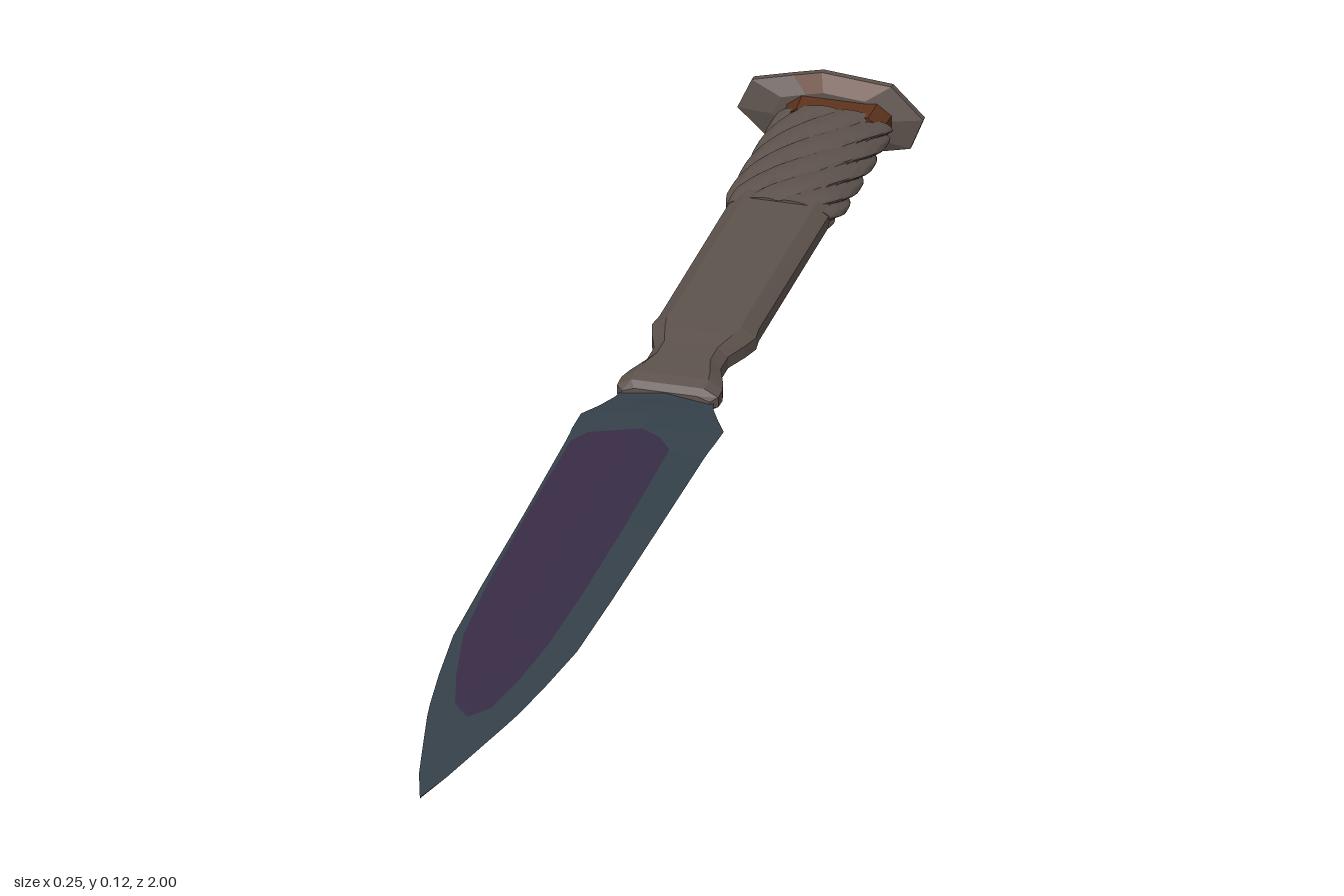
import * as THREE from 'three';
import { toCreasedNormals } from 'three/addons/utils/BufferGeometryUtils.js';

const CX = 0.014, CY = 0.063; // long axis of the dagger

const paint = (name, color) => {
  const m = new THREE.MeshStandardMaterial({ color });
  m.name = name;
  return m;
};

// Skin a list of equal rings (counter-clockwise from +z, ordered by rising z), with end caps.
// pick(i, j) chooses the material slot for each panel.
function loft(rings, pick = () => 0) {
  const slots = [];
  const tri = (s, ...pts) => {
    slots[s] ??= [];
    pts.forEach(p => slots[s].push(...p));
  };
  const n = rings[0].length;
  for (let i = 0; i < rings.length - 1; i++) {
    for (let j = 0; j < n; j++) {
      const k = (j + 1) % n, s = pick(i, j);
      tri(s, rings[i][j], rings[i][k], rings[i + 1][k]);
      tri(s, rings[i][j], rings[i + 1][k], rings[i + 1][j]);
    }
  }
  const centre = r => [0, 1, 2].map(a => r.reduce((t, p) => t + p[a], 0) / n);
  const first = rings[0], last = rings[rings.length - 1];
  const c0 = centre(first), c1 = centre(last);
  for (let j = 0; j < n; j++) {
    const k = (j + 1) % n;
    tri(0, c0, first[k], first[j]);
    tri(0, c1, last[j], last[k]);
  }
  const g = new THREE.BufferGeometry();
  let start = 0;
  slots.forEach((s, i) => {
    g.addGroup(start, s.length / 3, i);
    start += s.length / 3;
  });
  g.setAttribute('position', new THREE.Float32BufferAttribute(slots.flat(), 3));
  g.computeVertexNormals();
  return g;
}

// Chamfered bar section
const bar = (z, w, h) => [
  [w, h * 0.4], [w * 0.72, h], [-w * 0.72, h], [-w, h * 0.4],
  [-w, -h * 0.4], [-w * 0.72, -h], [w * 0.72, -h], [w, -h * 0.4],
].map(([x, y]) => [CX + x, CY + y, z]);

export function createModel() {
  const group = new THREE.Group();
  const iron = paint('weathered iron', 0x5e534d);
  const rust = paint('rust', 0x5c321c);
  const steel = paint('blue grey steel', 0x35414a);
  const violet = paint('violet steel', 0x382d46);
  const add = (name, geometry, material) => {
    const m = new THREE.Mesh(geometry, material);
    m.name = name;
    group.add(m);
  };

  // Blade: z, left edge, right edge, half thickness, violet patch left and right
  const stations = [
    [-0.175, -0.045, 0.073, 0.009, CX, CX],
    [-0.145, -0.05, 0.08, 0.009, CX, CX],
    [-0.115, -0.063, 0.095, 0.012, CX, CX],
    [-0.088, -0.079, 0.110, 0.013, CX, CX],
    [-0.045, -0.079, 0.108, 0.013, CX, CX],
    [-0.035, -0.078, 0.107, 0.013, -0.055, 0.04],
    [-0.01, -0.077, 0.106, 0.013, -0.071, 0.06],
    [0.2, -0.073, 0.103, 0.013, -0.069, 0.063],
    [0.4, -0.071, 0.1, 0.012, -0.065, 0.062],
    [0.55, -0.068, 0.096, 0.011, -0.055, 0.058],
    [0.66, -0.056, 0.083, 0.009, -0.033, 0.048],
    [0.74, -0.045, 0.071, 0.008, -0.012, 0.036],
    [0.775, -0.039, 0.064, 0.007, CX, CX],
    [0.86, -0.021, 0.046, 0.005, CX, CX],
    [0.93, -0.006, 0.031, 0.004, CX, CX],
    [0.995, 0.0135, 0.0145, 0.001, CX, CX],
  ];
  const bladeRings = stations.map(([z, l, r, h, pl, pr]) => {
    const lift = x => h * (1 - (x < CX ? (CX - x) / (CX - l) : (x - CX) / (r - CX)));
    const patched = pr > pl;
    const ql = patched ? (pl + l) / 2 : CX, qr = patched ? (pr + r) / 2 : CX;
    return [
      [r, CY, z], [pr, CY + lift(pr), z], [CX, CY + h, z], [pl, CY + lift(pl), z],
      [l, CY, z], [ql, CY - lift(ql), z], [CX, CY - h, z], [qr, CY - lift(qr), z],
    ];
  });
  add('blade', loft(bladeRings, (i, j) => ([1, 2, 5, 6].includes(j) ? 1 : 0)), [steel, violet]);

  // Plain grip with the narrowed neck
  const grip = [
    [-0.71, 0.066, 0.02], [-0.36, 0.066, 0.021], [-0.335, 0.069, 0.021], [-0.31, 0.062, 0.021],
    [-0.275, 0.049, 0.02], [-0.24, 0.049, 0.02], [-0.205, 0.062, 0.02], [-0.185, 0.067, 0.02],
    [-0.165, 0.067, 0.017], [-0.155, 0.058, 0.01],
  ];
  add('grip', loft(grip.map(s => bar(...s))), iron);

  // Twisted grip: an oval section with spiral grooves
  const twist = [];
  const steps = 36, sides = 96, z0 = -0.945, z1 = -0.685;
  for (let i = 0; i <= steps; i++) {
    const z = z0 + (z1 - z0) * i / steps;
    const taper = 1 - 0.1 * Math.max(0, (z + 0.72) / 0.035);
    twist.push(Array.from({ length: sides }, (_, j) => {
      const a = j / sides * Math.PI * 2;
      const phase = a - Math.PI * z / 0.25;
      const r = taper * (1 - 0.16 * (1 - Math.abs(Math.sin(4 * phase))) ** 2);
      return [CX + 0.079 * r * Math.cos(a), CY + 0.027 * r * Math.sin(a), z];
    }));
  }
  add('twistedGrip', toCreasedNormals(loft(twist), 0.7), iron);

  // Rusty collar under the pommel
  add('collar', loft([bar(-0.975, 0.069, 0.025), bar(-0.935, 0.066, 0.022)]), rust);

  // Pommel: an uneven, bevelled plate with rust on its inner face
  const outline = [
    [0.122, 0.068], [0.08, 0.11], [-0.012, 0.118], [-0.05, 0.109], [-0.105, 0.095], [-0.124, 0.053],
    [-0.08, 0.012], [-0.05, 0.009], [0.015, 0.003], [0.058, 0.014], [0.105, 0.025],
  ];
  const plate = [[-1, 0.55], [-0.989, 1], [-0.98, 1], [-0.968, 0.6]];
  const plateRings = plate.map(([z, s]) => outline.map(([x, y]) => [x * s, 0.061 + (y - 0.061) * s, z]));
  add('pommel', loft(plateRings, (i, j) => (i === 2 && [1, 2, 7, 8].includes(j) ? 1 : 0)), [iron, rust]);

  return group;
}
